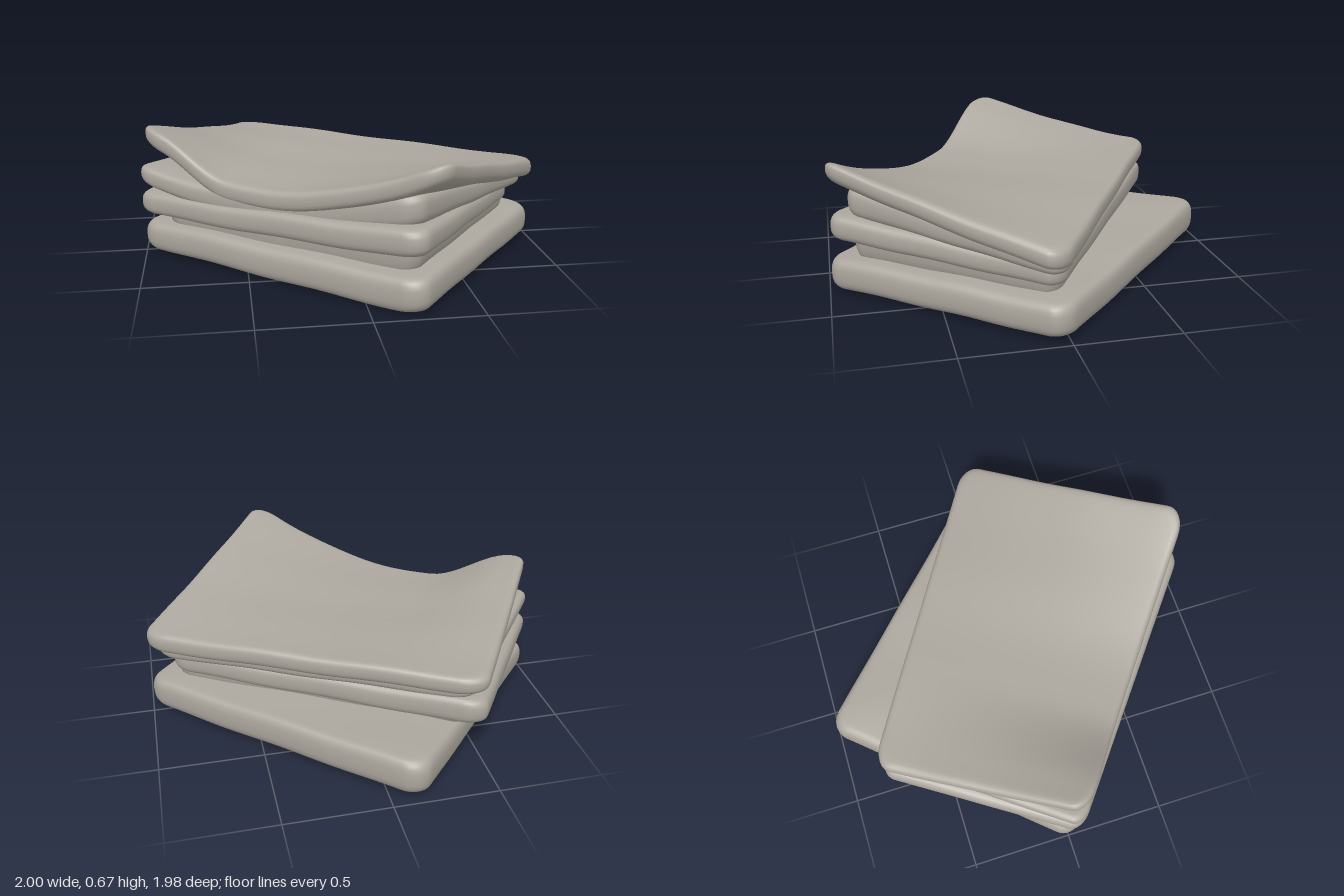
import * as THREE from 'three';

const cloth = new THREE.MeshStandardMaterial({ color: 0xaca79e });

// Point on a rounded square outline (-1..1) at parameter k of 0..1
function outline(k, radius) {
  const side = Math.floor(k * 4) % 4, f = k * 4 - Math.floor(k * 4);
  const flat = 1 - radius;
  let x = 1, y;
  if (f < 0.8) y = -flat + 2 * flat * (f / 0.8);
  else {
    const a = ((f - 0.8) / 0.2) * Math.PI / 2;
    x = flat + radius * Math.cos(a);
    y = flat + radius * Math.sin(a);
  }
  for (let i = 0; i < side; i++) [x, y] = [-y, x];
  return [x, y];
}

// Blend four corner values: left, front, right, back
const blend = (c, s, t) =>
  c[0] * (1 - s) * (1 - t) + c[1] * s * (1 - t) + c[2] * s * t + c[3] * (1 - s) * t;

// A soft, padded slab of folded cloth.
// corners: [x, y, z, halfThickness] for left, front, right, back
function foldedLayer(name, corners, { radius = 0.13, puff = 0.2, dip = 0, lift = () => 0, seed = 0 } = {}) {
  const around = 160, inner = 24, round = 12;
  const col = i => corners.map(c => c[i] * (i === 0 || i === 2 ? 1.025 : 1));
  const X = col(0), Y = col(1), Z = col(2), H = col(3);

  // rings run from the top centre, around the edge, to the bottom centre
  const rings = [];
  for (let i = 0; i < inner; i++) rings.push([(i + 0.02) / inner, 1, 0]);
  for (let i = 0; i <= round; i++) {
    const a = Math.PI / 2 - (i / round) * Math.PI;
    const soften = v => Math.sign(v) * Math.abs(v) ** 0.75;
    rings.push([1, soften(Math.sin(a)), soften(Math.max(Math.cos(a), 0))]);
  }
  for (let i = inner - 1; i >= 0; i--) rings.push([(i + 0.02) / inner, -1, 0]);

  const pos = [], index = [];
  for (const [r, h, out] of rings) {
    for (let k = 0; k < around; k++) {
      const [a, b] = outline(k / around, radius);
      const scale = r * (0.93 + 0.07 * out);
      const s = (a * scale + 1) / 2, t = (b * scale + 1) / 2;
      const x = blend(X, s, t), z = blend(Z, s, t);
      const wrinkle = 0.003 * Math.sin(9 * x + 5 * z + seed) + 0.002 * Math.sin(13 * z - 6 * x + 2 * seed);
      const y = blend(Y, s, t) + lift(s, t) + wrinkle - dip * 4 * s * (1 - s) * (1 - t);
      const thick = blend(H, s, t) * (1 + puff * (1 - r ** 4));
      pos.push(x, y + h * thick, z);
    }
  }
  for (let j = 0; j < rings.length - 1; j++) {
    for (let k = 0; k < around; k++) {
      const a = j * around + k, b = j * around + (k + 1) % around;
      index.push(a, b, a + around, b, b + around, a + around);
    }
  }
  // close both centres
  const last = (rings.length - 1) * around;
  for (let k = 1; k < around - 1; k++) {
    index.push(0, k + 1, k, last, last + k, last + k + 1);
  }
  // keep faces outward whichever way the corners run
  const p = i => new THREE.Vector3().fromArray(pos, i * 3);
  const m = around * 8;
  const up = p(m + 1).sub(p(m)).cross(p(m + around).sub(p(m))).y;
  if (up < 0) for (let i = 0; i < index.length; i += 3) [index[i], index[i + 1]] = [index[i + 1], index[i]];

  const geo = new THREE.BufferGeometry();
  geo.setAttribute('position', new THREE.Float32BufferAttribute(pos, 3));
  geo.setIndex(index);
  geo.computeVertexNormals();
  const mesh = new THREE.Mesh(geo, cloth);
  mesh.name = name;
  return mesh;
}

// Corner curls of the top fold: a broad rise at the front, a steep one at the left
function cornerCurl(s, t) {
  const front = 0.25 * s ** 2.5 * (1 - t) ** 1.2;
  const steep = 1 - THREE.MathUtils.smoothstep(s, 0.08, 0.32);
  const left = (0.12 * (1 - s) ** 3 + 0.12 * steep) * (1 - t) ** 1.4;
  return front + left;
}

export function createModel() {
  const group = new THREE.Group();
  group.name = 'foldedCloth';

  // thick bottom fold, the widest one
  group.add(foldedLayer('bottomFold', [
    [-1.01, 0.1, 0.01, 0.072], [0.2, 0.1, 1.0, 0.08], [1.0, 0.105, 0.04, 0.078], [-0.12, 0.125, -1.01, 0.09],
  ], { puff: 0.1, dip: 0.008 }));

  // gathered cloth closing the gaps between the folds
  group.add(foldedLayer('innerGather', [
    [-0.88, 0.28, 0.04, 0.13], [0.2, 0.32, 0.88, 0.16], [0.86, 0.27, 0.04, 0.12], [-0.42, 0.31, -0.73, 0.12],
  ], { puff: 0, dip: 0.03 }));

  // second fold, set back at the rear
  group.add(foldedLayer('lowerMiddleFold', [
    [-1.01, 0.28, 0.04, 0.052], [0.2, 0.335, 0.99, 0.064], [0.88, 0.27, 0.03, 0.055], [-0.46, 0.295, -0.81, 0.065],
  ], { dip: 0.015, seed: 2 }));

  // third fold, dipping under the top and thick at the front
  group.add(foldedLayer('upperMiddleFold', [
    [-1.01, 0.425, 0.04, 0.045], [0.2, 0.47, 0.9, 0.075], [0.95, 0.34, 0.04, 0.045], [-0.42, 0.39, -0.76, 0.04],
  ], { dip: 0.09, seed: 4 }));

  // top fold with the left and front corners curling up
  group.add(foldedLayer('topFold', [
    [-0.98, 0.405, 0.05, 0.048], [0.28, 0.415, 1.0, 0.048], [1.01, 0.388, 0.05, 0.053], [-0.45, 0.445, -0.82, 0.045],
  ], { radius: 0.15, puff: 0.1, dip: 0.06, lift: cornerCurl, seed: 5 }));

  return group;
}
